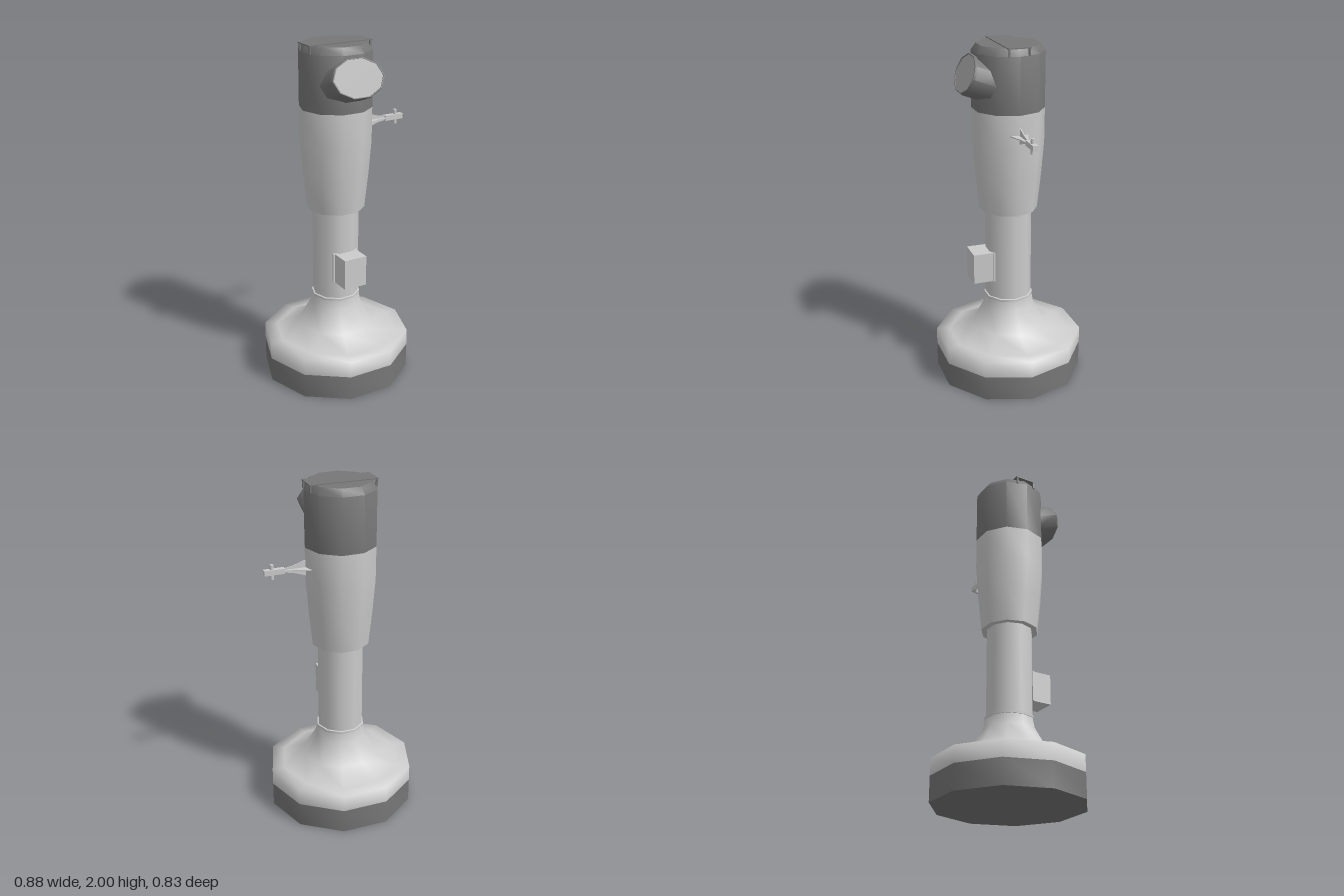
import * as THREE from 'three';
import { toCreasedNormals } from 'three/addons/utils/BufferGeometryUtils.js';

const SIDES = 10;
const material = (color) => new THREE.MeshStandardMaterial({ color });

export function createModel() {
  const model = new THREE.Group();
  model.name = 'scanner';
  const light = material(0xcccccc);
  const dark = material(0x777777);
  const glass = material(0xb0b0b0);

  function add(name, geometry, mat, parent = model) {
    const mesh = new THREE.Mesh(geometry, mat);
    mesh.name = name;
    parent.add(mesh);
    return mesh;
  }

  // Ten-sided turned part from [radius, height] pairs, bottom to top
  function turned(points, creased = true) {
    const profile = points.map(([r, y]) => new THREE.Vector2(r, y));
    const geometry = new THREE.LatheGeometry(profile, SIDES, Math.PI / 2);
    return creased ? toCreasedNormals(geometry, 0.75) : geometry;
  }

  function box(name, [w, h, d], [x, y, z], mat, parent) {
    const mesh = add(name, new THREE.BoxGeometry(w, h, d), mat, parent);
    mesh.position.set(x, y, z);
    return mesh;
  }

  // Column, all on one axis
  const column = new THREE.Group();
  column.name = 'column';
  column.position.x = -0.005;
  model.add(column);

  add('basePlinth', turned([[0, 0], [0.437, 0], [0.437, 0.145], [0, 0.145]]), dark, column);
  add('baseCover', turned([
    [0.437, 0.145], [0.437, 0.243], [0.36, 0.245], [0.22, 0.305],
    [0.15, 0.43], [0.14, 0.495],
  ], false), light, column);
  add('collarRing', turned([[0.13, 0.488], [0.144, 0.49], [0.144, 0.502], [0.13, 0.505]]), light, column);
  add('shaft', turned([[0.135, 0.48], [0.135, 1.06]], false), light, column);
  add('housing', turned([
    [0.13, 1.04], [0.168, 1.04], [0.19, 1.25], [0.205, 1.44], [0.206, 1.635], [0.18, 1.635],
  ]), light, column);
  add('head', turned([
    [0, 1.635], [0.206, 1.635], [0.206, 1.955], [0.178, 1.995], [0, 1.995],
  ]), dark, column);

  // Oval eyepiece, pointing forward and slightly up
  const eyepiece = new THREE.Group();
  eyepiece.name = 'eyepiece';
  eyepiece.position.set(0, 1.842, 0.25);
  eyepiece.rotation.x = 1.2;
  eyepiece.scale.z = 0.7;
  column.add(eyepiece);
  add('eyepieceHood', turned([[0, -0.18], [0.166, -0.18], [0.166, -0.012], [0.16, 0], [0.153, 0], [0.153, -0.008]]), dark, eyepiece);
  add('eyepieceLens', turned([[0.155, -0.02], [0.155, -0.004], [0, -0.004]]), glass, eyepiece);

  // Strap across the top on four short legs
  box('topStrap', [0.393, 0.006, 0.132], [-0.005, 1.997, 0], dark);
  for (const sx of [-1, 1]) {
    for (const sz of [-1, 1]) {
      box('strapLeg', [0.01, 0.045, 0.01], [-0.005 + sx * 0.189, 1.976, sz * 0.057], dark);
    }
  }

  // Box on the front of the shaft with its mounting flange
  box('controlBox', [0.142, 0.18, 0.13], [-0.005, 0.7, 0.168], light);
  box('controlBoxFlange', [0.16, 0.18, 0.012], [-0.005, 0.7, 0.112], light);

  // Side arm: two crossed tapering fins, a rod and a pin
  const arm = new THREE.Group();
  arm.name = 'sideArm';
  arm.position.y = 1.52;
  model.add(arm);

  function fin(name, halfWidths) {
    const upper = halfWidths.map(([x, h]) => new THREE.Vector2(x, h));
    const lower = halfWidths.map(([x, h]) => new THREE.Vector2(x, -h)).reverse();
    const geometry = new THREE.ExtrudeGeometry(new THREE.Shape([...upper, ...lower]), {
      depth: 0.006, bevelEnabled: false,
    });
    geometry.translate(0, 0, -0.003);
    return add(name, geometry, light, arm);
  }
  fin('uprightFin', [[0.17, 0.05], [0.2, 0.045], [0.275, 0.02], [0.325, 0.012]]);
  fin('flatFin', [[0.17, 0.056], [0.195, 0.05], [0.275, 0.021], [0.325, 0.015]]).rotation.x = Math.PI / 2;
  box('armRod', [0.118, 0.03, 0.03], [0.381, 0, 0], light, arm);
  add('armPin', new THREE.CylinderGeometry(0.011, 0.011, 0.084, 12), light, arm).position.x = 0.394;

  return model;
}
